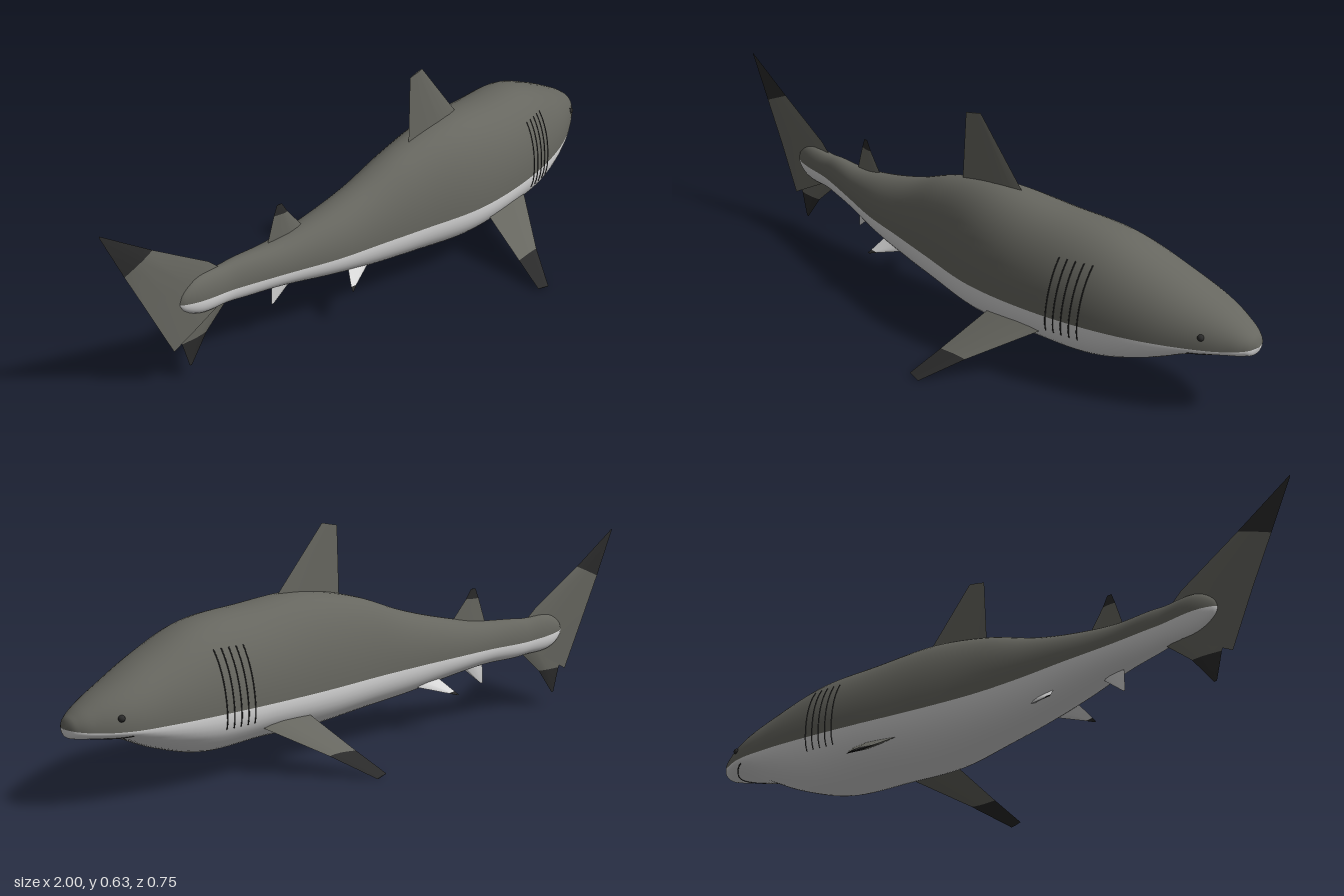
import * as THREE from 'three';
import { toCreasedNormals } from 'three/addons/utils/BufferGeometryUtils.js';

const mat = (name, color) => new THREE.MeshStandardMaterial({ name, color });

// Body stations: x, centre z, half width, top y, belly y, colour-line y
const stations = [
  [-0.775, -0.107, 0.0, 0.245, 0.245, 0.245],
  [-0.76, -0.107, 0.014, 0.272, 0.222, 0.245],
  [-0.6, -0.1, 0.036, 0.297, 0.182, 0.23],
  [-0.45, -0.071, 0.056, 0.304, 0.17, 0.225],
  [-0.3, -0.045, 0.08, 0.33, 0.145, 0.219],
  [-0.15, -0.027, 0.094, 0.368, 0.117, 0.212],
  [0, -0.012, 0.113, 0.42, 0.098, 0.206],
  [0.2, 0, 0.147, 0.455, 0.077, 0.201],
  [0.4, -0.008, 0.162, 0.442, 0.078, 0.2],
  [0.6, -0.028, 0.158, 0.42, 0.076, 0.2],
  [0.75, -0.051, 0.139, 0.362, 0.118, 0.2],
  [0.87, -0.073, 0.107, 0.306, 0.168, 0.2],
  [0.94, -0.079, 0.073, 0.27, 0.179, 0.202],
  [0.98, -0.081, 0.044, 0.243, 0.183, 0.206],
  [0.994, -0.081, 0.024, 0.228, 0.19, 0.208],
  [1.0, -0.081, 0, 0.209, 0.209, 0.209],
];
const spline = new THREE.CubicInterpolant(
  stations.map((s) => s[0]), stations.flatMap((s) => s.slice(1)), 5, new Float32Array(5));

// Point on the skin; angle 0 is the +z flank, PI/2 the back
function skin(x, angle) {
  const [zc, w, top, belly, line] = spline.evaluate(x);
  const c = Math.cos(angle), s = Math.sin(angle);
  const round = (v) => Math.sign(v) * Math.abs(v) ** 0.93;
  const h = s > 0 ? top - line : line - belly;
  return new THREE.Vector3(x, line + h * round(s), zc + Math.max(w, 0) * round(c));
}

// Skin angle at a given height on one flank
function skinAtHeight(x, y, side) {
  const [, , top, belly, line] = spline.evaluate(x);
  const h = y > line ? top - line : line - belly;
  const a = Math.asin(THREE.MathUtils.clamp((y - line) / h, -1, 1) * 0.99);
  return skin(x, side > 0 ? a : Math.PI - a);
}

function bodyGeometry() {
  const rings = 110, n = 48, pos = [], back = [], belly = [];
  for (let i = 0; i <= rings; i++) {
    const x = 0.1125 - 0.8875 * Math.cos((Math.PI * i) / rings);
    for (let j = 0; j < n; j++) pos.push(...skin(x, (2 * Math.PI * j) / n).toArray());
  }
  for (let i = 0; i < rings; i++) {
    for (let j = 0; j < n; j++) {
      const k = (j + 1) % n;
      const a = i * n + j, b = a + n, c = (i + 1) * n + k, d = i * n + k;
      (j < n / 2 ? back : belly).push(a, b, c, a, c, d);
    }
  }
  const g = new THREE.BufferGeometry();
  g.setAttribute('position', new THREE.Float32BufferAttribute(pos, 3));
  g.setIndex([...back, ...belly]);
  g.addGroup(0, back.length, 0);
  g.addGroup(back.length, belly.length, 1);
  g.computeVertexNormals();
  return g;
}

// Lens-section fin. rows run root to tip: [leading point, trailing point, thickness]
function finGeometry(rows, slots) {
  const profile = [[0, 0], [0.15, 0.7], [0.4, 1], [0.7, 0.6], [1, 0], [0.7, -0.6], [0.4, -1], [0.15, -0.7]];
  const n = profile.length, pos = [], index = [];
  const lead = rows.map((r) => new THREE.Vector3(...r[0]));
  const trail = rows.map((r) => new THREE.Vector3(...r[1]));
  const last = rows.length - 1;
  const chord = trail[0].clone().sub(lead[0]);
  const span = lead[last].clone().add(trail[last]).sub(lead[0]).sub(trail[0]);
  const normal = chord.cross(span).normalize();
  rows.forEach((r, i) => {
    for (const [t, s] of profile) {
      pos.push(...lead[i].clone().lerp(trail[i], t).addScaledVector(normal, (s * r[2]) / 2).toArray());
    }
  });
  const g = new THREE.BufferGeometry();
  for (let i = 0; i < last; i++) {
    for (let j = 0; j < n; j++) {
      const a = i * n + j, d = i * n + ((j + 1) % n);
      index.push(a, d, d + n, a, d + n, a + n);
    }
    g.addGroup(i * n * 6, n * 6, slots[i]);
  }
  for (let j = 1; j < n - 1; j++) index.push(last * n, last * n + j, last * n + j + 1);
  g.addGroup(last * n * 6, (n - 2) * 3, slots[last - 1]);
  g.setAttribute('position', new THREE.Float32BufferAttribute(pos, 3));
  g.setIndex(index);
  return toCreasedNormals(g, 0.6);
}

export function createModel() {
  const model = new THREE.Group();
  model.name = 'shark';
  const grey = mat('backGrey', 0x66665f);
  const white = mat('bellyWhite', 0xd8d8d8);
  const black = mat('tipBlack', 0x2a2a2a);
  const palette = [grey, white, black];

  const add = (name, geometry, material) => {
    const mesh = new THREE.Mesh(geometry, material);
    mesh.name = name;
    model.add(mesh);
    return mesh;
  };
  const fin = (name, rows, slots) => add(name, finGeometry(rows, slots), palette);
  const line = (name, points, radius) =>
    add(name, new THREE.TubeGeometry(new THREE.CatmullRomCurve3(points), 24, radius, 5), black);

  add('body', bodyGeometry(), [grey, white]);

  // Fins on the midline
  fin('dorsalFin', [
    [[0.3, 0.42, 0], [0.05, 0.4, 0], 0.024],
    [[0.115, 0.638, -0.003], [0.06, 0.628, -0.003], 0.004],
  ], [0]);
  fin('secondDorsalFin', [
    [[-0.33, 0.295, -0.056], [-0.47, 0.285, -0.078], 0.016],
    [[-0.394, 0.375, -0.066], [-0.44, 0.375, -0.074], 0.007],
    [[-0.412, 0.405, -0.069], [-0.428, 0.405, -0.072], 0.002],
  ], [0, 2]);
  fin('analFin', [
    [[-0.36, 0.185, -0.058], [-0.46, 0.185, -0.073], 0.014],
    [[-0.455, 0.11, -0.073], [-0.462, 0.11, -0.075], 0.002],
  ], [1]);
  fin('tailUpperLobe', [
    [[-0.56, 0.235, -0.096], [-0.8, 0.115, -0.108], 0.02],
    [[-0.66, 0.325, -0.106], [-0.87, 0.265, -0.114], 0.014],
    [[-0.84, 0.437, -0.114], [-0.935, 0.4, -0.117], 0.006],
    [[-1, 0.545, -0.118], [-1, 0.54, -0.118], 0.001],
  ], [0, 0, 2]);
  fin('tailLowerLobe', [
    [[-0.57, 0.215, -0.098], [-0.79, 0.17, -0.108], 0.016],
    [[-0.682, 0.122, -0.105], [-0.77, 0.122, -0.109], 0.008],
    [[-0.742, 0.045, -0.107], [-0.75, 0.047, -0.107], 0.002],
  ], [0, 2]);

  // Paired parts
  for (const s of [1, -1]) {
    const side = s > 0 ? 'Right' : 'Left';
    fin('pectoralFin' + side, [
      [[0.48, 0.155, s * 0.11], [0.28, 0.155, s * 0.11], 0.022],
      [[0.32, 0.06, s * 0.276], [0.229, 0.06, s * 0.276], 0.01],
      [[0.24, 0.004, s * 0.375], [0.2, 0.01, s * 0.366], 0.003],
    ], [0, 2]);
    fin('pelvicFin' + side, [
      [[-0.16, 0.145, -0.03 + s * 0.055], [-0.25, 0.16, -0.038 + s * 0.06], 0.012],
      [[-0.252, 0.12, -0.045 + s * 0.098], [-0.274, 0.124, -0.045 + s * 0.098], 0.004],
      [[-0.274, 0.114, -0.046 + s * 0.109], [-0.28, 0.115, -0.046 + s * 0.109], 0.002],
    ], [1, 2]);

    // Gill slits
    for (let i = 0; i < 5; i++) {
      const pts = [];
      for (let k = 0; k <= 10; k++) {
        pts.push(skinAtHeight(0.485 + i * 0.024 + k * 0.0012, 0.16 + k * 0.02, s));
      }
      line('gillSlit' + side + (i + 1), pts, 0.0018);
    }

    const eye = add('eye' + side, new THREE.SphereGeometry(0.009, 16, 12), black);
    eye.position.copy(skinAtHeight(0.89, 0.232, s));
  }

  // Mouth line curving under the snout
  const mouth = [];
  for (let k = 0; k <= 12; k++) {
    const t = (Math.PI * k) / 12;
    mouth.push(skin(0.86 + 0.085 * Math.sin(t), -0.35 - (Math.PI - 0.7) * (k / 12)));
  }
  line('mouth', mouth, 0.0018);

  return model;
}
